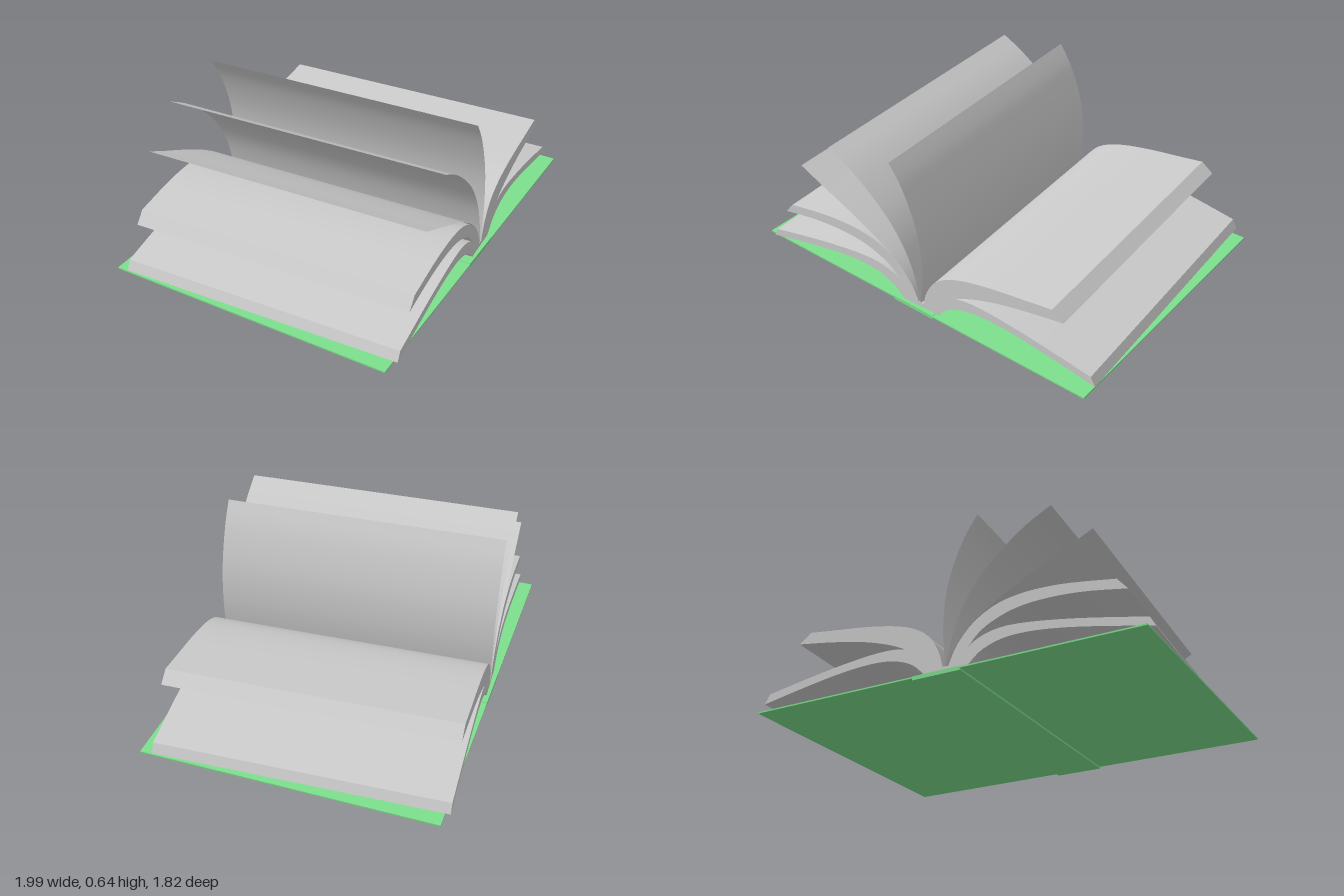
import * as THREE from 'three';
import { toCreasedNormals } from 'three/addons/utils/BufferGeometryUtils.js';

const PAGE_LENGTH = 1.163;
const COVER_LENGTH = 1.195;

const paper = new THREE.MeshStandardMaterial({ color: 0xcccccc, side: THREE.DoubleSide });
const cloth = new THREE.MeshStandardMaterial({ color: 0x7ddf8c });

// Smooth curve through a few [x, y] points
function curvePoints(points, steps = 20) {
  return new THREE.SplineCurve(points.map(([x, y]) => new THREE.Vector2(x, y))).getPoints(steps);
}

const mirror = (points) => points.map(([x, y]) => [-x, y]);

// Thick bundle of pages: upper curve out to the fore-edge, lower curve back to the spine
function pageBlock(name, top, bottom) {
  const shape = new THREE.Shape([...curvePoints(top), ...curvePoints(bottom)]);
  let geometry = new THREE.ExtrudeGeometry(shape, { depth: PAGE_LENGTH, bevelEnabled: false });
  geometry.translate(0, 0, -PAGE_LENGTH / 2);
  geometry = toCreasedNormals(geometry, 0.5);
  const mesh = new THREE.Mesh(geometry, paper);
  mesh.name = name;
  return mesh;
}

// Single thin leaf swept along the length of the book
function loosePage(name, points) {
  const curve = curvePoints(points);
  const geometry = new THREE.PlaneGeometry(1, 1, curve.length - 1, 1);
  const position = geometry.attributes.position;
  for (let i = 0; i < position.count; i++) {
    const p = curve[i % curve.length];
    const end = i < curve.length ? 0.5 : -0.5;
    position.setXYZ(i, p.x, p.y, end * PAGE_LENGTH);
  }
  geometry.computeVertexNormals();
  const mesh = new THREE.Mesh(geometry, paper);
  mesh.name = name;
  return mesh;
}

function slab(name, width, bottom, top, length, x, material) {
  const mesh = new THREE.Mesh(new THREE.BoxGeometry(width, top - bottom, length), material);
  mesh.position.set(x, (top + bottom) / 2, 0);
  mesh.name = name;
  return mesh;
}

export function createModel() {
  const book = new THREE.Group();
  book.name = 'openBook';

  // Cover: two flat boards and a spine that sits slightly lower
  const cover = new THREE.Group();
  cover.name = 'cover';
  cover.rotation.y = THREE.MathUtils.degToRad(28.4);
  for (const [name, side] of [['leftBoard', 1], ['rightBoard', -1]]) {
    cover.add(slab(name, 0.71, 0.008, 0.014, COVER_LENGTH, side * 0.455, cloth));
  }
  cover.add(slab('spine', 0.2, 0, 0.016, COVER_LENGTH, 0, cloth));
  book.add(cover);

  // Pages, turned a little against the cover
  const pages = new THREE.Group();
  pages.name = 'pages';
  pages.rotation.y = THREE.MathUtils.degToRad(31.3);
  book.add(pages);
  pages.add(slab('pageBinding', 0.17, 0.016, 0.035, PAGE_LENGTH, 0, paper));

  // Lower bundles, the same on both sides
  const lowTop = [[0.045, 0.025], [0.07, 0.07], [0.12, 0.115], [0.2, 0.142], [0.3, 0.144],
    [0.45, 0.126], [0.6, 0.1], [0.77, 0.066]];
  const lowBottom = [[0.79, 0.028], [0.6, 0.067], [0.45, 0.093], [0.32, 0.105], [0.22, 0.098],
    [0.14, 0.068], [0.09, 0.022]];
  pages.add(pageBlock('lowerLeftPages', lowTop, lowBottom));
  pages.add(pageBlock('lowerRightPages', mirror(lowTop), mirror(lowBottom)));

  // Upper bundle whose fore-edge lifts
  pages.add(pageBlock('upperLeftPages',
    [[0.01, 0.03], [0.03, 0.1], [0.07, 0.165], [0.13, 0.21], [0.22, 0.242], [0.35, 0.266],
      [0.5, 0.283], [0.6, 0.295]],
    [[0.65, 0.255], [0.5, 0.233], [0.35, 0.203], [0.22, 0.16], [0.13, 0.108], [0.05, 0.03]]));

  // Upper bundle that arches over
  pages.add(pageBlock('upperRightPages',
    [[-0.01, 0.03], [-0.045, 0.11], [-0.11, 0.187], [-0.2, 0.24], [-0.3, 0.262], [-0.4, 0.265],
      [-0.5, 0.258], [-0.66, 0.235]],
    [[-0.7, 0.188], [-0.55, 0.212], [-0.42, 0.22], [-0.3, 0.212], [-0.2, 0.182], [-0.12, 0.13],
      [-0.05, 0.03]]));

  // Loose leaves being turned
  pages.add(loosePage('lowLoosePage',
    [[0, 0.03], [-0.04, 0.11], [-0.11, 0.19], [-0.22, 0.268], [-0.36, 0.345], [-0.48, 0.405], [-0.58, 0.457]]));
  pages.add(loosePage('middleLoosePage',
    [[0, 0.03], [-0.02, 0.13], [-0.06, 0.25], [-0.13, 0.365], [-0.22, 0.46], [-0.32, 0.54], [-0.42, 0.598]]));
  pages.add(loosePage('uprightLoosePage',
    [[0, 0.03], [0.012, 0.15], [0.013, 0.25], [0, 0.36], [-0.028, 0.46], [-0.07, 0.56], [-0.12, 0.64]]));

  return book;
}
